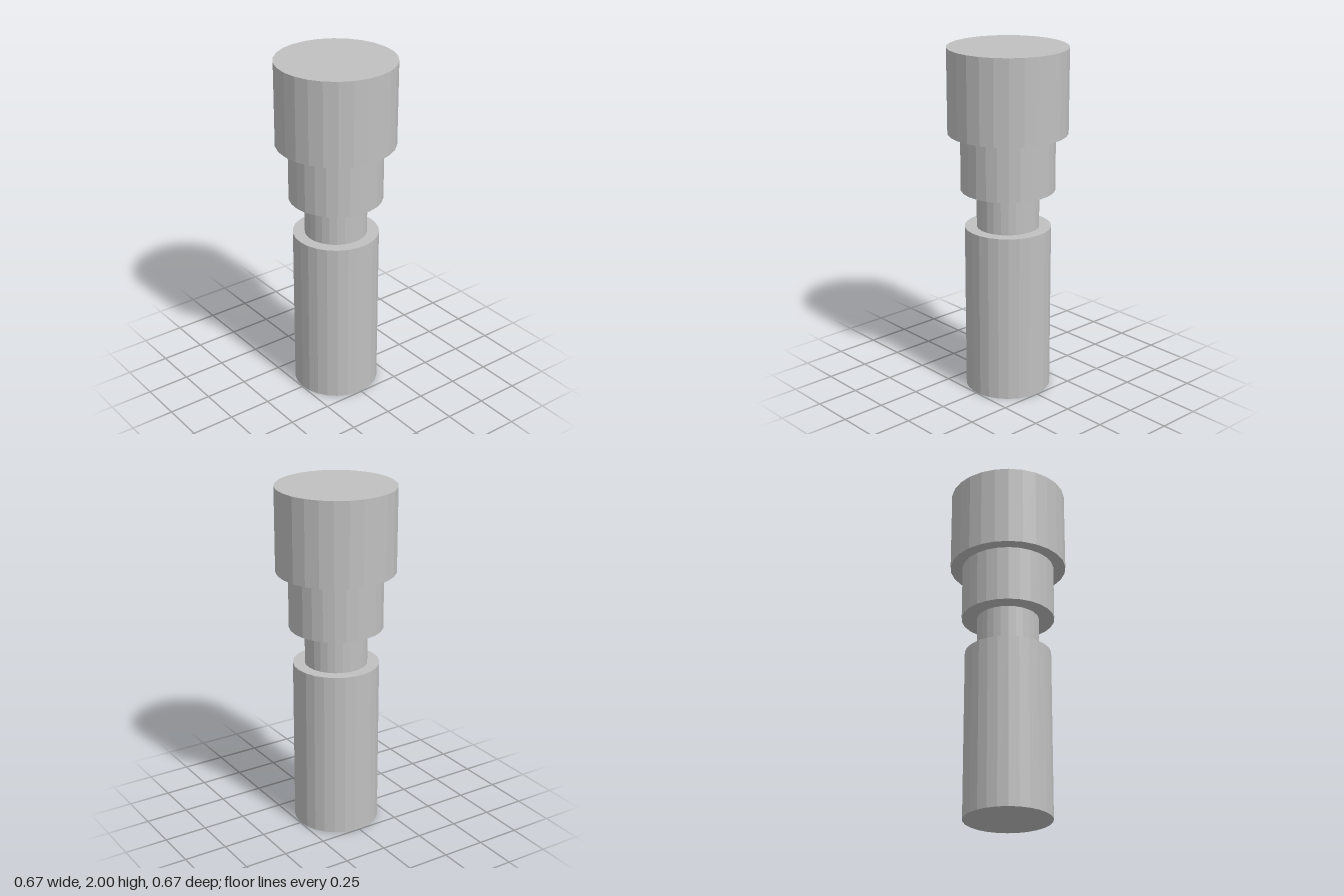
import * as THREE from 'three';

const SIDES = 26;

export function createModel() {
  const group = new THREE.Group();
  group.name = 'steppedPin';
  const metal = new THREE.MeshStandardMaterial({ color: 0xc0c0c0, flatShading: true });
  metal.name = 'light grey metal';

  // Coaxial sections from the bottom up: name, radius, bottom, top
  const sections = [
    ['shaft', 0.246, 0, 0.975],
    ['neck', 0.178, 0.975, 1.192],
    ['collar', 0.267, 1.192, 1.52],
    ['head', 0.337, 1.52, 2],
  ];
  for (const [name, radius, bottom, top] of sections) {
    // Quarter-turn start puts a corner on the x axis and a flat on the z axis
    const geometry = new THREE.CylinderGeometry(radius, radius, top - bottom, SIDES, 1, false, Math.PI / 2);
    const mesh = new THREE.Mesh(geometry, metal);
    mesh.name = name;
    mesh.position.y = (bottom + top) / 2;
    group.add(mesh);
  }
  return group;
}
